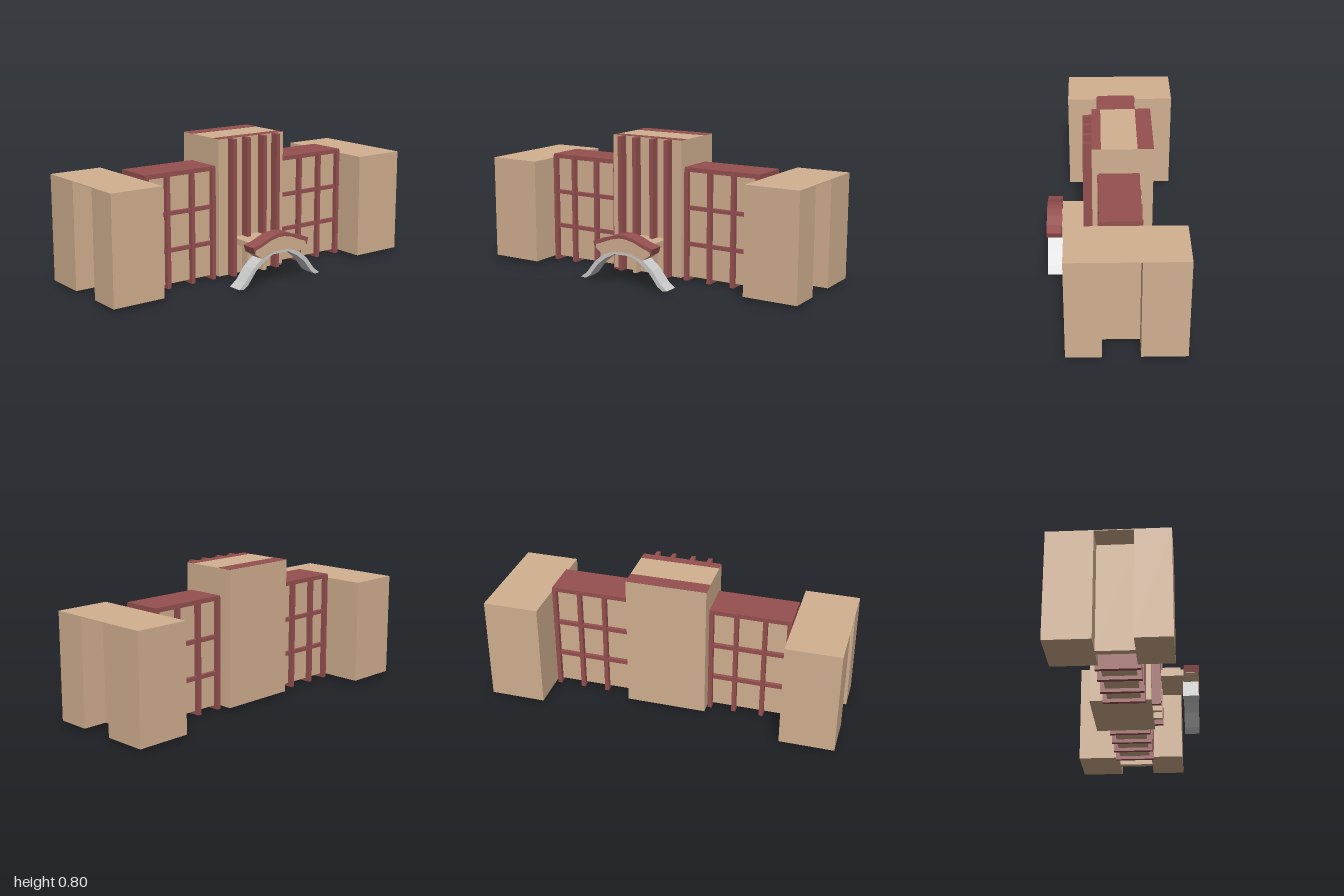
import * as THREE from 'three';

const TAN = new THREE.MeshStandardMaterial({ color: 0xd2b090, flatShading: true });
const RED = new THREE.MeshStandardMaterial({ color: 0x965050, flatShading: true });
const GREY = new THREE.MeshStandardMaterial({ color: 0xcccccc, flatShading: true });

// Box given by its min and max on each axis
function block(parent, name, mat, [x0, x1], [y0, y1], [z0, z1]) {
  const mesh = new THREE.Mesh(new THREE.BoxGeometry(x1 - x0, y1 - y0, z1 - z0), mat);
  mesh.position.set((x0 + x1) / 2, (y0 + y1) / 2, (z0 + z1) / 2);
  mesh.name = name;
  parent.add(mesh);
}

// Symmetric front outline (right-hand points, upper then lower) extruded along z
function arch(parent, name, mat, upper, lower, z0, z1) {
  const flip = (pts) => pts.map(([x, y]) => [-x, y]);
  const pts = [
    ...flip(upper).reverse(), ...upper,
    ...lower.slice().reverse(), ...flip(lower),
  ].map(([x, y]) => new THREE.Vector2(x, y));
  const geo = new THREE.ExtrudeGeometry(new THREE.Shape(pts), { depth: z1 - z0, bevelEnabled: false });
  const mesh = new THREE.Mesh(geo, mat);
  mesh.position.z = z0;
  mesh.name = name;
  parent.add(mesh);
}

// End tower: front and back blocks joined by a thin wall and a roof sheet
function endTower(name, x0, x1, wall) {
  const g = new THREE.Group();
  g.name = name;
  block(g, 'towerFrontBlock', TAN, [x0, x1], [0.02, 0.618], [0.07, 0.26]);
  block(g, 'towerBackBlock', TAN, [x0, x1], [0.02, 0.618], [-0.375, -0.13]);
  block(g, 'towerLinkWall', TAN, wall, [0.02, 0.618], [-0.13, 0.07]);
  block(g, 'towerRoof', TAN, [x0, x1], [0.616, 0.62], [-0.375, 0.26]);
  return g;
}

// Wing: plain core wrapped in a grid of columns and rails
function wing(name, x0, x1, columns) {
  const g = new THREE.Group();
  g.name = name;
  block(g, 'wingCore', TAN, [x0 + 0.01, x1 - 0.01], [0.02, 0.62], [-0.12, 0.06]);
  block(g, 'wingRoof', RED, [x0, x1], [0.62, 0.645], [-0.143, 0.08]);
  for (const y of [0.2, 0.406]) block(g, 'wingRail', RED, [x0, x1], [y, y + 0.022], [-0.141, 0.078]);
  for (const x of columns) block(g, 'wingColumn', RED, [x - 0.012, x + 0.012], [0, 0.637], [-0.147, 0.086]);
  return g;
}

export function createModel() {
  const model = new THREE.Group();
  model.name = 'building';

  model.add(endTower('leftTower', 0.687, 1, [0.82, 0.86]));
  model.add(endTower('rightTower', -1, -0.693, [-0.86, -0.82]));
  model.add(wing('leftWing', 0.22, 0.685, [0.231, 0.378, 0.525, 0.673]));
  model.add(wing('rightWing', -0.69, -0.233, [-0.678, -0.545, -0.385, -0.245]));

  // Central block with flush roof bands
  const centre = new THREE.Group();
  centre.name = 'centralBlock';
  block(centre, 'centralBody', TAN, [-0.233, 0.22], [0.02, 0.796], [-0.22, 0.115]);
  block(centre, 'backRoofBand', RED, [-0.233, 0.22], [0.796, 0.798], [-0.22, -0.132]);
  block(centre, 'frontRoofBand', RED, [-0.233, 0.22], [0.796, 0.798], [0.065, 0.115]);

  // Facade fins; the inner pair stands on plain pilasters below the walkway roof
  [-0.158, -0.06, 0.053, 0.147].forEach((x, i) => {
    const inner = i === 1 || i === 2;
    const xs = [x - 0.012, x + 0.012];
    block(centre, 'facadeFin', RED, xs, [inner ? 0.21 : 0.02, 0.796], [0.11, 0.165]);
    if (inner) block(centre, 'facadePilaster', TAN, xs, [0.02, 0.21], [0.11, 0.165]);
  });
  model.add(centre);

  // Entrance: walkway roof, curved canopy and splayed arch
  const entrance = new THREE.Group();
  entrance.name = 'entrance';
  block(entrance, 'walkwayRoof', TAN, [-0.14, 0.133], [0.197, 0.234], [0.11, 0.3]);
  arch(entrance, 'canopyRoof', RED,
    [[0.02, 0.288], [0.075, 0.275], [0.135, 0.25], [0.195, 0.234]],
    [[0.02, 0.268], [0.075, 0.256], [0.135, 0.231], [0.178, 0.217], [0.183, 0.197]], 0.29, 0.376);
  arch(entrance, 'canopyGable', TAN,
    [[0.02, 0.268], [0.075, 0.256], [0.135, 0.231], [0.178, 0.217], [0.18, 0.197]],
    [[0.05, 0.19], [0.13, 0.162]], 0.289, 0.373);
  arch(entrance, 'entranceArch', GREY,
    [[0.06, 0.2], [0.135, 0.16], [0.19, 0.115], [0.245, 0.045], [0.286, 0.014]],
    [[0.055, 0.175], [0.12, 0.14], [0.17, 0.1], [0.225, 0.03], [0.255, 0.01]], 0.286, 0.37);
  model.add(entrance);

  return model;
}
